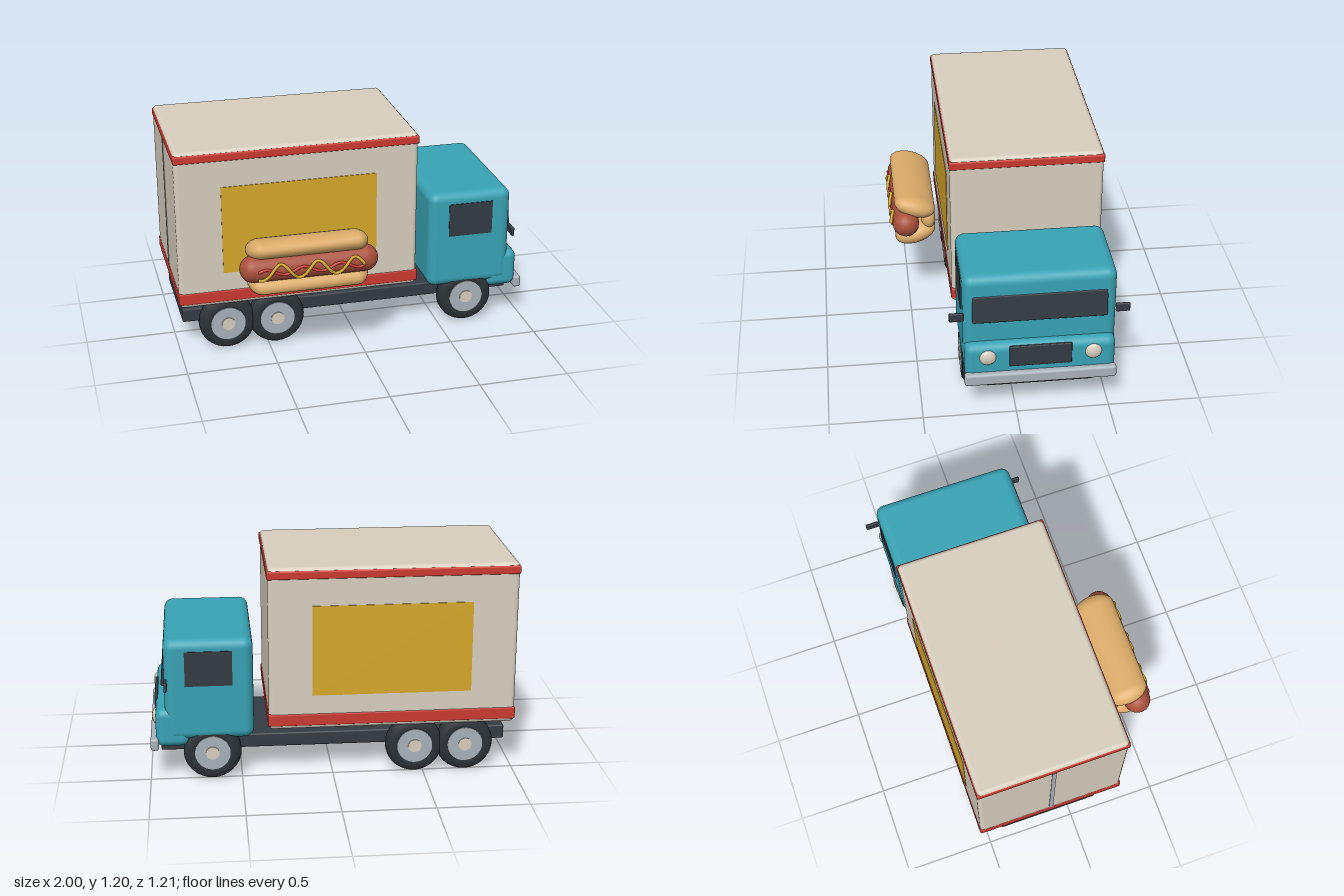
import * as THREE from 'three';
import { RoundedBoxGeometry } from 'three/addons/geometries/RoundedBoxGeometry.js';

const mat = (name, color) => {
  const m = new THREE.MeshStandardMaterial({ color });
  m.name = name;
  return m;
};

export function createModel() {
  const cream = mat('cream', 0xd8cfbf);
  const red = mat('red', 0xcb3a31);
  const yellow = mat('mustard yellow', 0xd6a92b);
  const teal = mat('teal', 0x39a3b5);
  const dark = mat('dark grey', 0x343b43);
  const rubber = mat('rubber', 0x2c3238);
  const silver = mat('silver', 0xa9b2bb);
  const bunTan = mat('bun tan', 0xdbab69);
  const sausageBrown = mat('sausage brown', 0xa8503a);

  const model = new THREE.Group();
  model.name = 'foodTruck';
  const ZC = -0.132; // centre line of the truck body

  function add(name, geometry, material, x, y, z, parent = model) {
    const mesh = new THREE.Mesh(geometry, material);
    mesh.name = name;
    mesh.position.set(x, y, z);
    parent.add(mesh);
    return mesh;
  }
  // Box given by its limits, with an optional edge radius
  function block(name, material, [x0, x1], [y0, y1], [z0, z1], r = 0) {
    const s = [x1 - x0, y1 - y0, z1 - z0];
    const g = r ? new RoundedBoxGeometry(...s, 4, r) : new THREE.BoxGeometry(...s);
    return add(name, g, material, (x0 + x1) / 2, (y0 + y1) / 2, (z0 + z1) / 2);
  }
  const across = (half) => [ZC - half, ZC + half];

  // Chassis and cargo box
  block('chassis', dark, [-0.97, 0.94], [0.14, 0.22], across(0.287), 0.01);
  block('cargoBox', cream, [-0.997, 0.352], [0.29, 1.2], across(0.417), 0.025);
  block('upperBand', red, [-1, 0.357], [1.137, 1.185], across(0.421), 0.01);
  block('lowerBand', red, [-1, 0.357], [0.31, 0.38], across(0.421), 0.01);
  block('rearDoorSeam', silver, [-1, -0.992], [0.38, 1.137], across(0.012));

  // Cab
  block('cab', teal, [0.432, 0.912], [0.24, 0.812], across(0.406), 0.05);
  block('hood', teal, [0.78, 0.965], [0.2, 0.42], across(0.402), 0.045);
  block('bumper', silver, [0.95, 0.995], [0.185, 0.255], across(0.406), 0.015);
  block('grille', dark, [0.955, 0.972], [0.284, 0.41], across(0.166), 0.005);
  const windshield = block('windshield', dark, [0.893, 0.923], [0.54, 0.702], across(0.357), 0.012);
  windshield.rotation.z = 0.1;

  // Parts on both sides of the truck
  for (const s of [1, -1]) {
    const side = s > 0 ? 'right' : 'left';
    const plate = (name, material, x, y, offset) =>
      block(side + name, material, x, y, [ZC + s * offset - 0.004, ZC + s * offset + 0.004]);
    plate('SidePanel', yellow, [-0.75, 0.115], [0.485, 0.99], 0.417);
    plate('SideWindow', dark, [0.545, 0.8], [0.555, 0.75], 0.406);
    block(side + 'Mirror', dark, [0.895, 0.912], [0.55, 0.6],
      [ZC + s * 0.44 - 0.038, ZC + s * 0.44 + 0.038], 0.006);
    const lamp = add(side + 'Headlight', new THREE.SphereGeometry(0.045, 24, 16), cream, 0.962, 0.346, ZC + s * 0.281);
    lamp.scale.x = 0.5;
  }

  // Wheels: rubber lathe with a silver rim and cream hub
  const tireProfile = [
    [0.09, -0.044], [0.105, -0.05], [0.135, -0.048], [0.151, -0.035], [0.158, -0.015],
    [0.158, 0.015], [0.151, 0.035], [0.135, 0.048], [0.105, 0.05], [0.09, 0.044],
  ].map(([r, h]) => new THREE.Vector2(r, h));
  const tireGeo = new THREE.LatheGeometry(tireProfile, 32);
  const rimGeo = new THREE.CylinderGeometry(0.097, 0.097, 0.103, 32);
  const hubGeo = new THREE.CylinderGeometry(0.037, 0.037, 0.114, 20);
  for (const x of [-0.73, -0.45, 0.66]) {
    for (const s of [1, -1]) {
      const wheel = new THREE.Group();
      wheel.name = 'wheel';
      wheel.position.set(x, 0.163, ZC + s * 0.352);
      wheel.rotation.x = Math.PI / 2;
      add('tire', tireGeo, rubber, 0, 0, 0, wheel);
      add('rim', rimGeo, silver, 0, 0, 0, wheel);
      add('hub', hubGeo, cream, 0, 0, 0, wheel);
      model.add(wheel);
    }
  }

  // Hot dog sign beside the cargo box
  const hotDog = new THREE.Group();
  hotDog.name = 'hotDog';
  hotDog.position.set(-0.32, 0.6, 0);
  model.add(hotDog);
  function capsule(name, material, halfX, cap, ry, rz, y, z, tilt = 0) {
    const g = new THREE.CapsuleGeometry(1, 1, 8, 20);
    g.rotateZ(Math.PI / 2);
    // Move the ends out to the wanted length and scale the section
    const p = g.attributes.position;
    for (let i = 0; i < p.count; i++) {
      const x = p.getX(i);
      const e = Math.sign(x) * Math.max(0, Math.abs(x) - 0.5);
      p.setXYZ(i, Math.sign(x) * (halfX - cap) + e * cap, p.getY(i) * ry, p.getZ(i) * rz);
    }
    g.computeVertexNormals();
    add(name, g, material, 0, y, z, hotDog).rotation.x = tilt;
  }
  capsule('topBun', bunTan, 0.335, 0.075, 0.06, 0.12, 0.085, 0.458, -0.3);
  capsule('bottomBun', bunTan, 0.335, 0.075, 0.06, 0.12, -0.085, 0.458, 0.3);
  capsule('bunHinge', bunTan, 0.31, 0.05, 0.062, 0.04, 0, 0.382);
  capsule('sausage', sausageBrown, 0.38, 0.075, 0.075, 0.075, 0, 0.513);

  // Wavy sauce lines wrapped over the sausage
  function sauce(name, material, amplitude, radius, phase, lift) {
    const points = [];
    for (let i = 0; i <= 48; i++) {
      const x = -0.285 + (0.57 * i) / 48;
      const y = amplitude * Math.cos(((x + 0.17 + phase) / 0.203) * Math.PI * 2);
      points.push(new THREE.Vector3(x, y, 0.513 + Math.sqrt(0.075 ** 2 - y * y) + lift));
    }
    const curve = new THREE.CatmullRomCurve3(points);
    add(name, new THREE.TubeGeometry(curve, 96, radius, 8), material, 0, 0, 0, hotDog);
    for (const end of [points[0], points[48]]) {
      add(name + 'End', new THREE.SphereGeometry(radius, 10, 8), material, end.x, end.y, end.z, hotDog);
    }
  }
  sauce('mustard', yellow, 0.043, 0.009, 0, 0.008);
  sauce('ketchup', red, 0.018, 0.008, 0.08, 0);

  return model;
}
